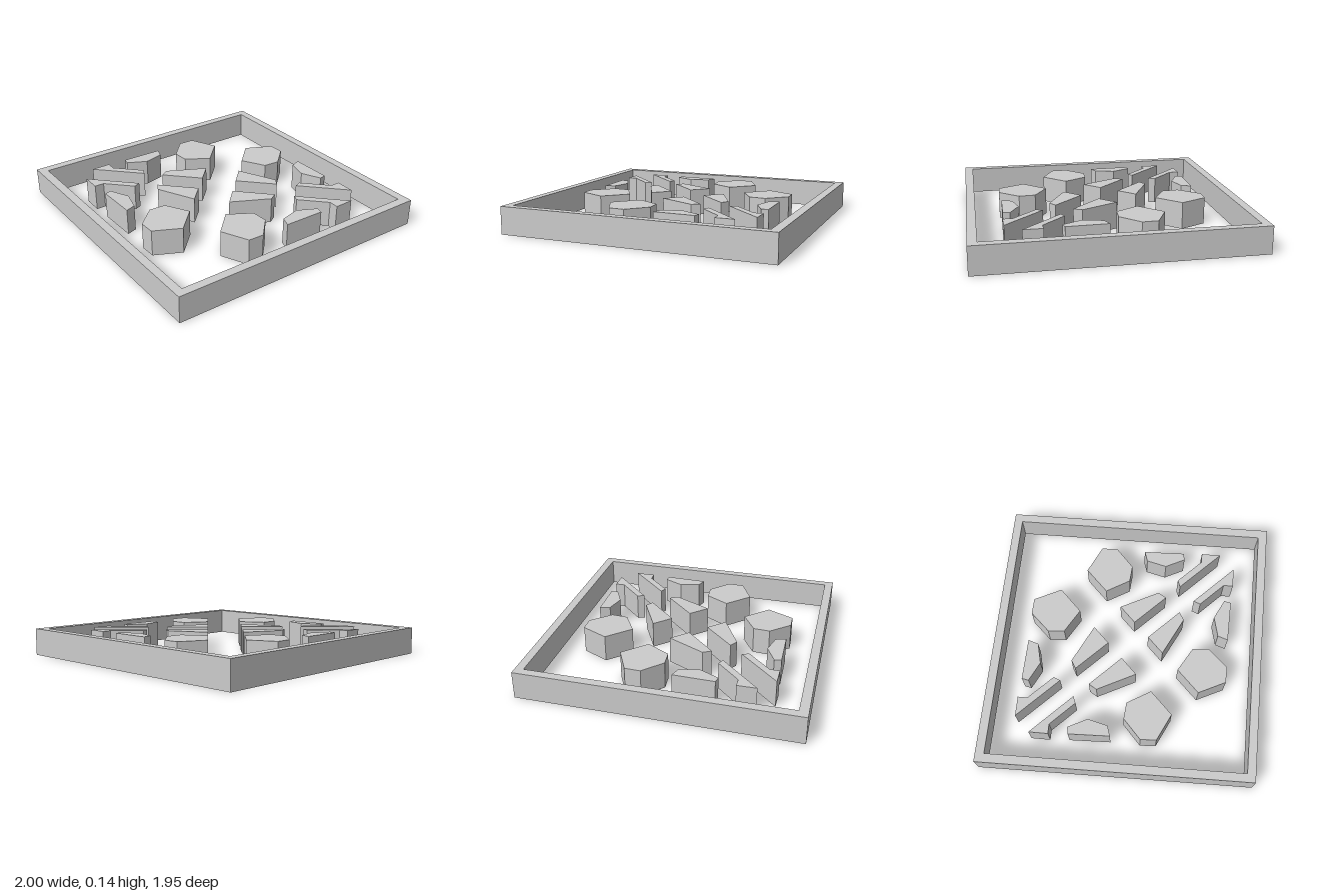
import * as THREE from 'three';

const HEIGHT = 0.14;
const material = new THREE.MeshStandardMaterial({ color: 0xcccccc, flatShading: true, side: THREE.DoubleSide });

const toPoints = (list) => list.map(([x, y]) => new THREE.Vector2(x, y));

// Prism standing on the ground with a top and walls, hollow underneath
function openPrism(name, outline, hole) {
  const shape = new THREE.Shape(toPoints(outline));
  if (hole) shape.holes.push(new THREE.Path(toPoints(hole)));
  const solid = new THREE.ExtrudeGeometry(shape, { depth: HEIGHT, bevelEnabled: false });
  solid.rotateX(-Math.PI / 2);
  const pos = solid.attributes.position, normal = solid.attributes.normal;
  const kept = [];
  for (let i = 0; i < pos.count; i += 3) {
    if (normal.getY(i) < -0.9) continue; // drop the underside
    for (let j = i; j < i + 3; j++) kept.push(pos.getX(j), pos.getY(j), pos.getZ(j));
  }
  const geometry = new THREE.BufferGeometry();
  geometry.setAttribute('position', new THREE.Float32BufferAttribute(kept, 3));
  geometry.computeVertexNormals();
  const mesh = new THREE.Mesh(geometry, material);
  mesh.name = name;
  return mesh;
}

const diamond = (x, z) => [[x, 0], [0, z], [-x, 0], [0, -z]];

// Outlines of one quadrant, as distances from the two centre lines
const blocks = {
  hexagonBlock: [[0.09, 0.45], [0.235, 0.5], [0.295, 0.445], [0.29, 0.31], [0.225, 0.255], [0.09, 0.29]],
  shardBlock: [[0.4, 0.335], [0.555, 0.19], [0.535, 0.16], [0.43, 0.195], [0.375, 0.285]],
  wedgeBlock: [[0.09, 0.055], [0.31, 0.055], [0.298, 0.102], [0.09, 0.17]],
  sliverBlock: [[0.7, 0.055], [0.41, 0.055], [0.425, 0.09], [0.595, 0.09], [0.63, 0.125]],
};

export function createModel() {
  const model = new THREE.Group();
  model.name = 'diamondTray';

  // Diamond border
  model.add(openPrism('diamondFrame', diamond(1, 0.975), diamond(0.935, 0.915)));

  // Blocks mirrored into all four quadrants
  for (const sx of [1, -1]) {
    for (const sz of [1, -1]) {
      const quadrant = new THREE.Group();
      quadrant.name = (sz > 0 ? 'back' : 'front') + (sx > 0 ? 'Left' : 'Right') + 'Blocks';
      for (const [name, outline] of Object.entries(blocks)) {
        quadrant.add(openPrism(name, outline.map(([x, y]) => [x * sx, y * sz])));
      }
      model.add(quadrant);
    }
  }
  return model;
}
